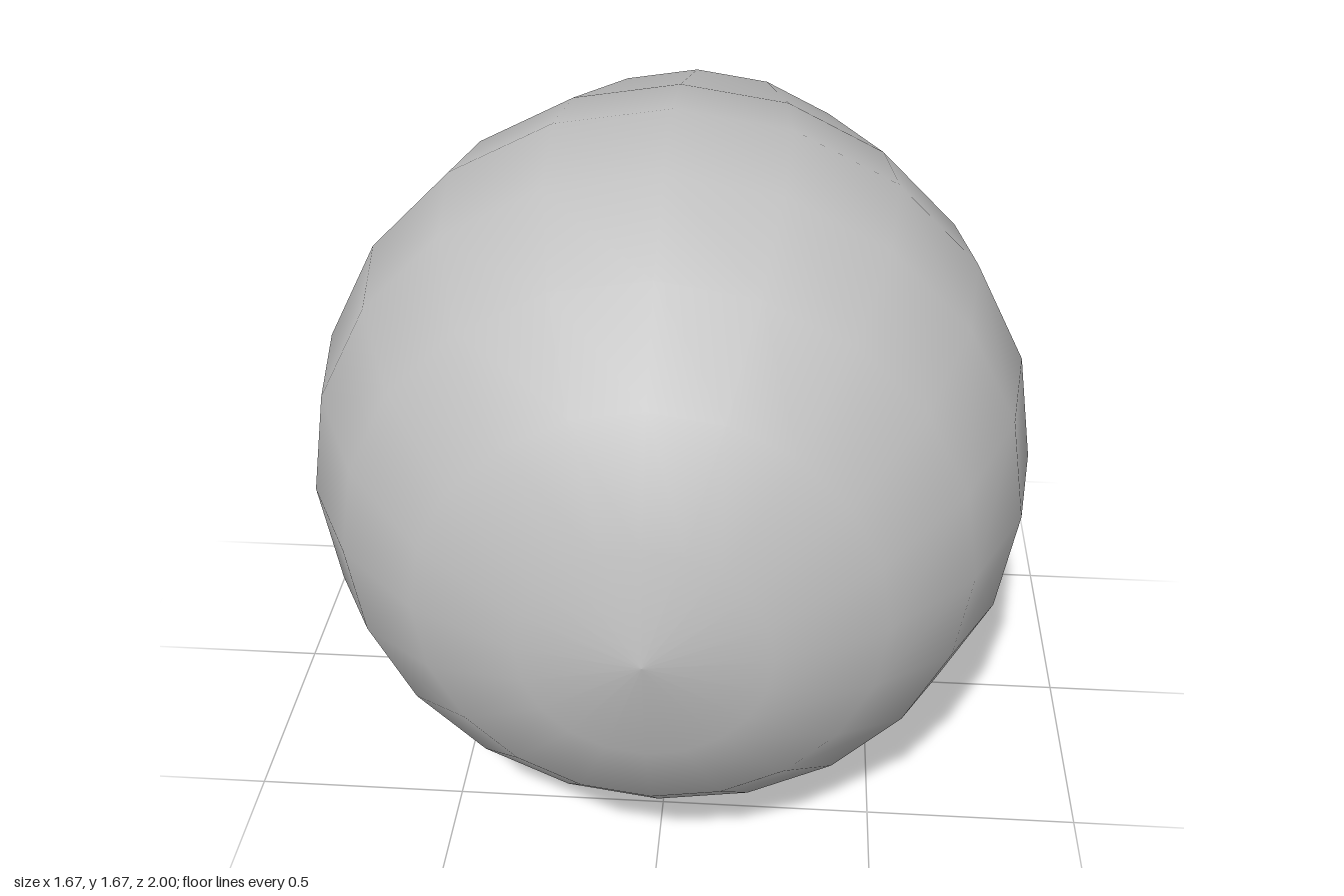
import * as THREE from 'three';

const SEGMENTS = 20;
const CENTER_Y = 0.837;

// Revolve [radius, z] points around the z axis
function turned(name, points, material) {
  const geometry = new THREE.LatheGeometry(points.map(([r, z]) => new THREE.Vector2(r, z)), SEGMENTS);
  geometry.rotateX(Math.PI / 2);
  const mesh = new THREE.Mesh(geometry, material);
  mesh.name = name;
  mesh.position.y = CENTER_Y;
  return mesh;
}

// Points on a ball centred on the axis, angles in degrees from the front pole
function arc(radius, centerZ, angles) {
  return angles.map((a) => {
    const t = THREE.MathUtils.degToRad(a);
    return [radius * Math.sin(t), centerZ + radius * Math.cos(t)];
  });
}

export function createModel() {
  const grey = new THREE.MeshStandardMaterial({ color: 0xc0c0c0 });
  grey.name = 'grey';
  const model = new THREE.Group();
  model.name = 'bulb';

  // Large front ball tapering into a smaller, cut-off back ball
  const shell = [
    [0.42, -1],
    ...arc(0.63, -0.54, [126, 108]),
    ...arc(0.837, 0.163, [108, 90, 72, 54, 36, 18, 0]),
  ];
  model.add(turned('shell', shell, grey));

  // Flared socket mouth and straight bore inside the back opening
  model.add(turned('socketMouth', [[0.3, -0.7], [0.42, -1]], grey));
  model.add(turned('socketBore', [[0.3, 0], [0.3, -0.7]], grey));
  model.add(turned('socketEnd', [[0, 0], [0.3, 0]], grey));
  return model;
}
